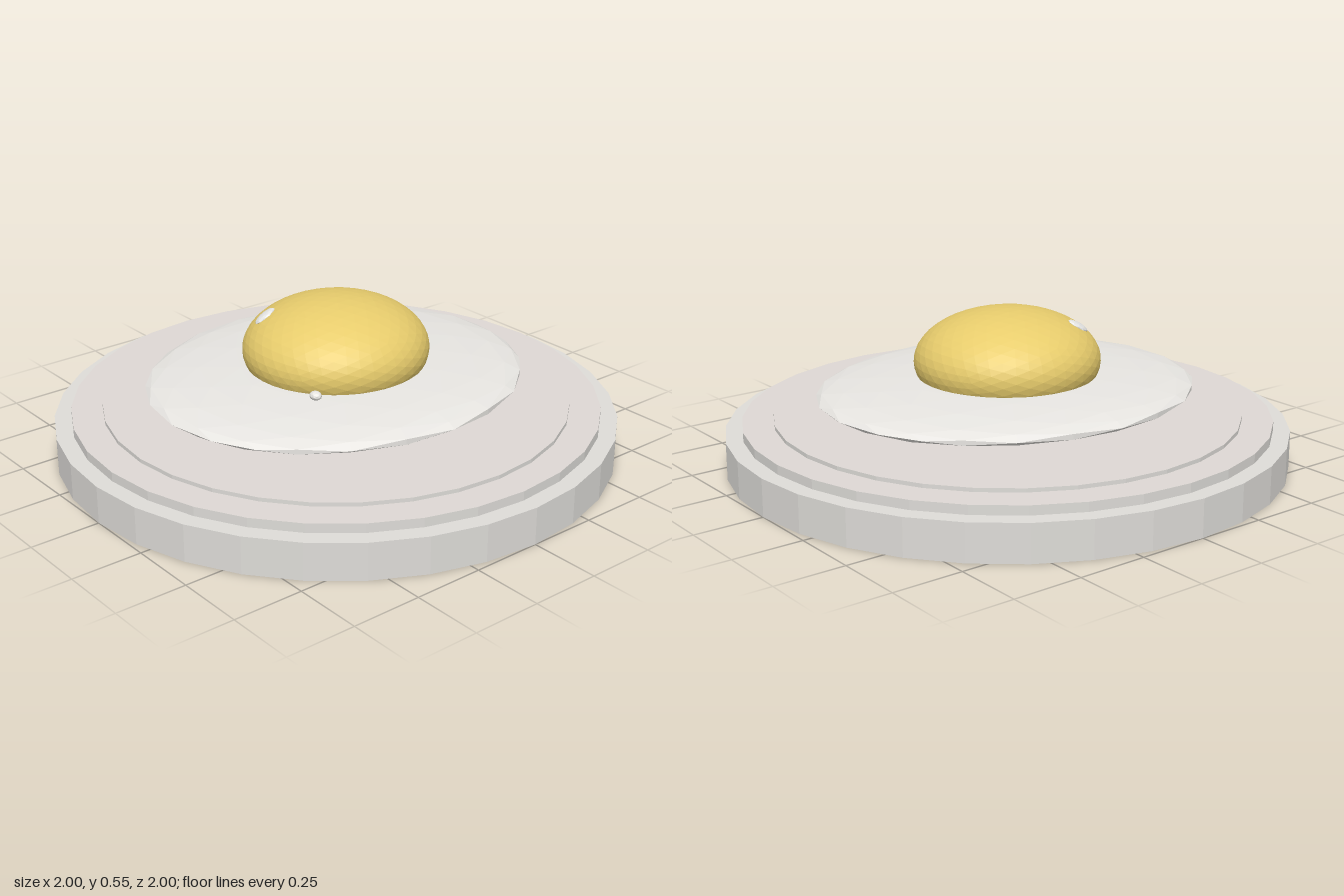
import * as THREE from 'three';

const material = (name, color, flatShading = true) => {
  const m = new THREE.MeshStandardMaterial({ color, flatShading });
  m.name = name;
  return m;
};

export function createModel() {
  const group = new THREE.Group();
  const rimGrey = material('plate rim', 0xdedcd8);
  const plateGrey = material('plate top', 0xdeD8d4);
  const eggWhite = material('egg white', 0xe9e7e3);
  const yolkYellow = material('yolk yellow', 0xf7da74);
  const shine = material('shine', 0xf4f4f2);

  const add = (name, geometry, mat, x, y, z) => {
    const mesh = new THREE.Mesh(geometry, mat);
    mesh.name = name;
    mesh.position.set(x, y, z);
    group.add(mesh);
    return mesh;
  };

  // Faceted ellipsoid with its three radii
  const blob = (name, mat, detail, [rx, ry, rz], [x, y, z]) =>
    add(name, new THREE.IcosahedronGeometry(1, detail).scale(rx, ry, rz), mat, x, y, z);

  // Stepped round plate: [name, radius, bottom, top, side and top materials]
  for (const [name, r, y0, y1, side, top] of [
    ['plateBase', 1, 0, 0.133, rimGrey, rimGrey],
    ['plateStep', 0.94, 0.133, 0.166, rimGrey, plateGrey],
    ['plateCentre', 0.83, 0.166, 0.18, rimGrey, plateGrey],
  ]) {
    add(name, new THREE.CylinderGeometry(r, r, y1 - y0, 32), [side, top, rimGrey], 0, (y0 + y1) / 2, 0);
  }

  // Fried egg
  blob('eggWhite', eggWhite, 3, [0.7, 0.06, 0.615], [0, 0.262, 0]);
  blob('yolk', yolkYellow, 7, [0.335, 0.184, 0.325], [0, 0.361, 0]);

  // Bubble beside the yolk
  blob('bubble', eggWhite, 1, [0.02, 0.016, 0.024], [-0.27, 0.324, 0.222]);

  // Highlight lying against the yolk, tilted to its surface
  const highlight = blob('highlight', shine, 1, [0.045, 0.011, 0.032], [-0.2, 0.48, -0.148]);
  const normal = new THREE.Vector3(-0.2 / 0.335 ** 2, 0.12 / 0.184 ** 2, -0.148 / 0.325 ** 2).normalize();
  highlight.quaternion.setFromUnitVectors(new THREE.Vector3(0, 1, 0), normal);

  return group;
}
